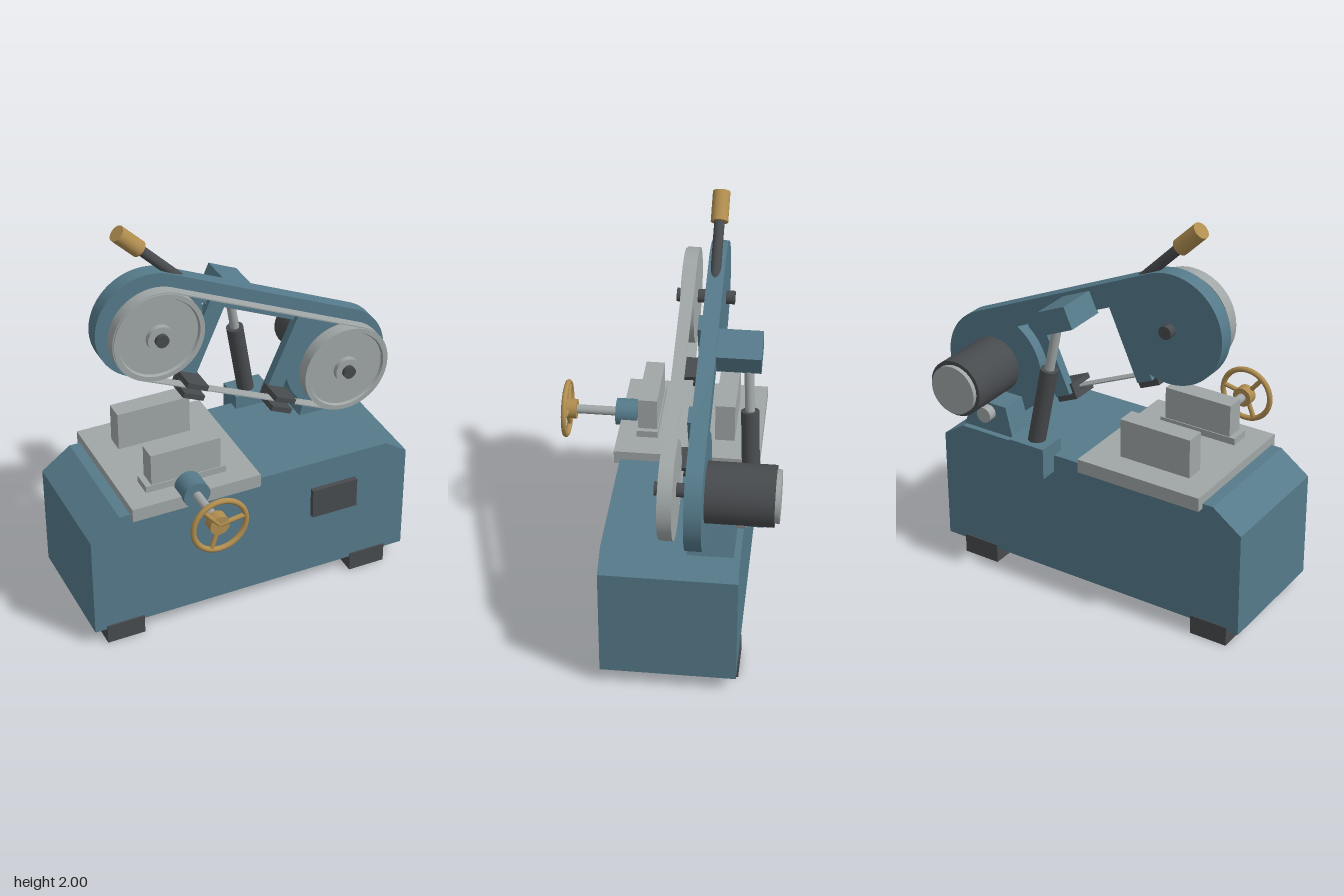
import * as THREE from 'three';
import { toCreasedNormals } from 'three/addons/utils/BufferGeometryUtils.js';

const material = (color) => new THREE.MeshStandardMaterial({ color });
const blue = material(0x557a8a);
const dark = material(0x484b4e);
const steel = material(0xa0a6a6);
const brass = material(0xb08d4f);

function add(parent, name, geometry, mat) {
  const mesh = new THREE.Mesh(geometry, mat);
  mesh.name = name;
  parent.add(mesh);
  return mesh;
}

// Box given by its limits on each axis
function box(parent, name, mat, [x0, x1], [y0, y1], [z0, z1]) {
  const mesh = add(parent, name, new THREE.BoxGeometry(x1 - x0, y1 - y0, z1 - z0), mat);
  mesh.position.set((x0 + x1) / 2, (y0 + y1) / 2, (z0 + z1) / 2);
  return mesh;
}

// Cylinder between two points
function rod(parent, name, mat, from, to, radius) {
  const a = new THREE.Vector3(...from);
  const b = new THREE.Vector3(...to);
  const dir = b.clone().sub(a);
  const mesh = add(parent, name, new THREE.CylinderGeometry(radius, radius, dir.length(), 32), mat);
  mesh.position.copy(a).add(b).multiplyScalar(0.5);
  mesh.quaternion.setFromUnitVectors(new THREE.Vector3(0, 1, 0), dir.normalize());
  return mesh;
}

// Cylinder along z
const zRod = (parent, name, mat, x, y, z0, z1, radius) =>
  rod(parent, name, mat, [x, y, z0], [x, y, z1], radius);

// Outline extruded between two z values
function slab(parent, name, mat, shape, z0, z1) {
  const geometry = new THREE.ExtrudeGeometry(shape, { depth: z1 - z0, bevelEnabled: false, curveSegments: 48 });
  geometry.translate(0, 0, z0);
  return add(parent, name, toCreasedNormals(geometry, 0.5), mat);
}

const polygon = (points) => new THREE.Shape(points.map(([x, y]) => new THREE.Vector2(x, y)));

function buildBase(model) {
  slab(model, 'base', blue, polygon([
    [-0.885, 0.08], [0.805, 0.08], [0.805, 0.655], [0.69, 0.73], [-0.735, 0.73], [-0.885, 0.62],
  ]), -0.405, 0.247);
  for (const x of [-0.825, 0.505])
    for (const z of [-0.41, 0.1]) box(model, 'foot', dark, [x, x + 0.196], [0, 0.1], [z, z + 0.155]);
  box(model, 'controlPanel', dark, [0.275, 0.52], [0.42, 0.58], [0.24, 0.273]);

  // Pivot support for the saw head
  slab(model, 'pivotPedestal', blue, polygon([[0.41, 0.72], [0.7, 0.72], [0.65, 0.885], [0.45, 0.885]]), -0.375, -0.155);
  zRod(model, 'pivotPin', steel, 0.55, 0.835, -0.42, -0.15, 0.04);
}

function buildVise(model) {
  const vise = new THREE.Group();
  vise.name = 'vise';
  model.add(vise);
  box(vise, 'table', steel, [-0.68, -0.015], [0.705, 0.775], [-0.442, 0.277]);
  box(vise, 'fixedJaw', steel, [-0.55, -0.17], [0.775, 0.975], [-0.308, -0.21]);
  box(vise, 'movingJaw', steel, [-0.54, -0.18], [0.775, 0.975], [0.08, 0.175]);
  box(vise, 'movingJawFoot', steel, [-0.57, -0.154], [0.775, 0.81], [0.075, 0.18]);

  // Lead screw and handwheel
  const x = -0.362, y = 0.78;
  zRod(vise, 'screwNut', blue, x, y, 0.195, 0.307, 0.068);
  zRod(vise, 'leadScrew', steel, x, y, 0.17, 0.53, 0.023);
  zRod(vise, 'handwheelHub', brass, x, y, 0.51, 0.565, 0.05);
  const rim = add(vise, 'handwheelRim', new THREE.TorusGeometry(0.134, 0.014, 12, 48), brass);
  rim.position.set(x, y, 0.56);
  for (let i = 0; i < 3; i++) {
    const a = 0.17 + (i * Math.PI * 2) / 3;
    rod(vise, 'handwheelSpoke', brass, [x, y, 0.555],
      [x + 0.134 * Math.cos(a), y + 0.134 * Math.sin(a), 0.56], 0.012);
  }
}

// The head is built level, with the upper wheel at its origin, and then tilted
function buildHead(model) {
  const span = 1.091, R = 0.275, beamBottom = 0.16;
  const head = new THREE.Group();
  head.name = 'sawHead';
  head.position.set(-0.39, 1.468, 0);
  head.rotation.z = -0.419;
  model.add(head);

  // Two round ends joined by a beam along the top
  const a = Math.asin(beamBottom / R);
  const outline = new THREE.Shape();
  outline.absarc(0, 0, R, Math.PI / 2, 2 * Math.PI + a, false);
  outline.absarc(span, 0, R, Math.PI - a, 2.5 * Math.PI, false);
  outline.closePath();
  slab(head, 'frame', blue, outline, -0.237, -0.157);

  // Wheels with raised rims and hubs
  const profile = [[0, -0.1], [0.23, -0.1], [0.23, -0.032], [0.206, -0.032], [0.2, -0.046],
    [0.066, -0.046], [0.066, -0.018], [0, -0.018]].map(([r, z]) => new THREE.Vector2(r, z));
  const wheelGeometry = toCreasedNormals(new THREE.LatheGeometry(profile, 64), 0.5).rotateX(Math.PI / 2);
  for (const x of [0, span]) {
    const wheel = add(head, 'bladeWheel', wheelGeometry, steel);
    wheel.position.x = x;
    zRod(head, 'axle', dark, x, 0, -0.28, 0.003, 0.033);
  }

  // Blade loop running around both wheels
  const loop = (path, r) => {
    path.absarc(0, 0, r, Math.PI / 2, 1.5 * Math.PI, false);
    path.absarc(span, 0, r, -Math.PI / 2, Math.PI / 2, false);
    path.closePath();
    return path;
  };
  const blade = loop(new THREE.Shape(), 0.235);
  blade.holes.push(loop(new THREE.Path(), 0.229));
  slab(head, 'blade', steel, blade, -0.1, -0.04);

  // Guide arms with forked blade guides
  for (const x of [0.29, 0.803]) {
    box(head, 'guideArm', blue, [x - 0.044, x + 0.044], [-0.24, 0.19], [-0.18, -0.132]);
    box(head, 'guideBlock', dark, [x - 0.058, x + 0.058], [-0.275, -0.195], [-0.155, -0.105]);
    for (const y of [-0.275, -0.222])
      box(head, 'guideProng', dark, [x - 0.058, x + 0.058], [y, y + 0.027], [-0.11, -0.01]);
  }

  box(head, 'strutBracket', blue, [0.364, 0.527], [0.143, 0.257], [-0.447, -0.23]);
}

export function createModel() {
  const model = new THREE.Group();
  model.name = 'bandSaw';
  buildBase(model);
  buildVise(model);
  buildHead(model);

  // Motor behind the lower wheel
  zRod(model, 'motor', dark, 0.607, 1.024, -0.555, -0.235, 0.143);
  zRod(model, 'motorCap', steel, 0.607, 1.024, -0.578, -0.55, 0.124);

  // Lift strut
  box(model, 'strutFoot', blue, [0.147, 0.345], [0.64, 0.8], [-0.495, -0.345]);
  rod(model, 'strutCylinder', dark, [0.237, 0.78, -0.42], [0.165, 1.185, -0.4], 0.043);
  rod(model, 'strutRod', steel, [0.165, 1.185, -0.4], [0.118, 1.45, -0.385], 0.023);

  // Lifting handle
  rod(model, 'handleRod', dark, [-0.21, 1.66, -0.195], [-0.43, 1.88, -0.195], 0.025);
  rod(model, 'handleGrip', brass, [-0.415, 1.865, -0.195], [-0.522, 1.97, -0.195], 0.042);
  return model;
}
